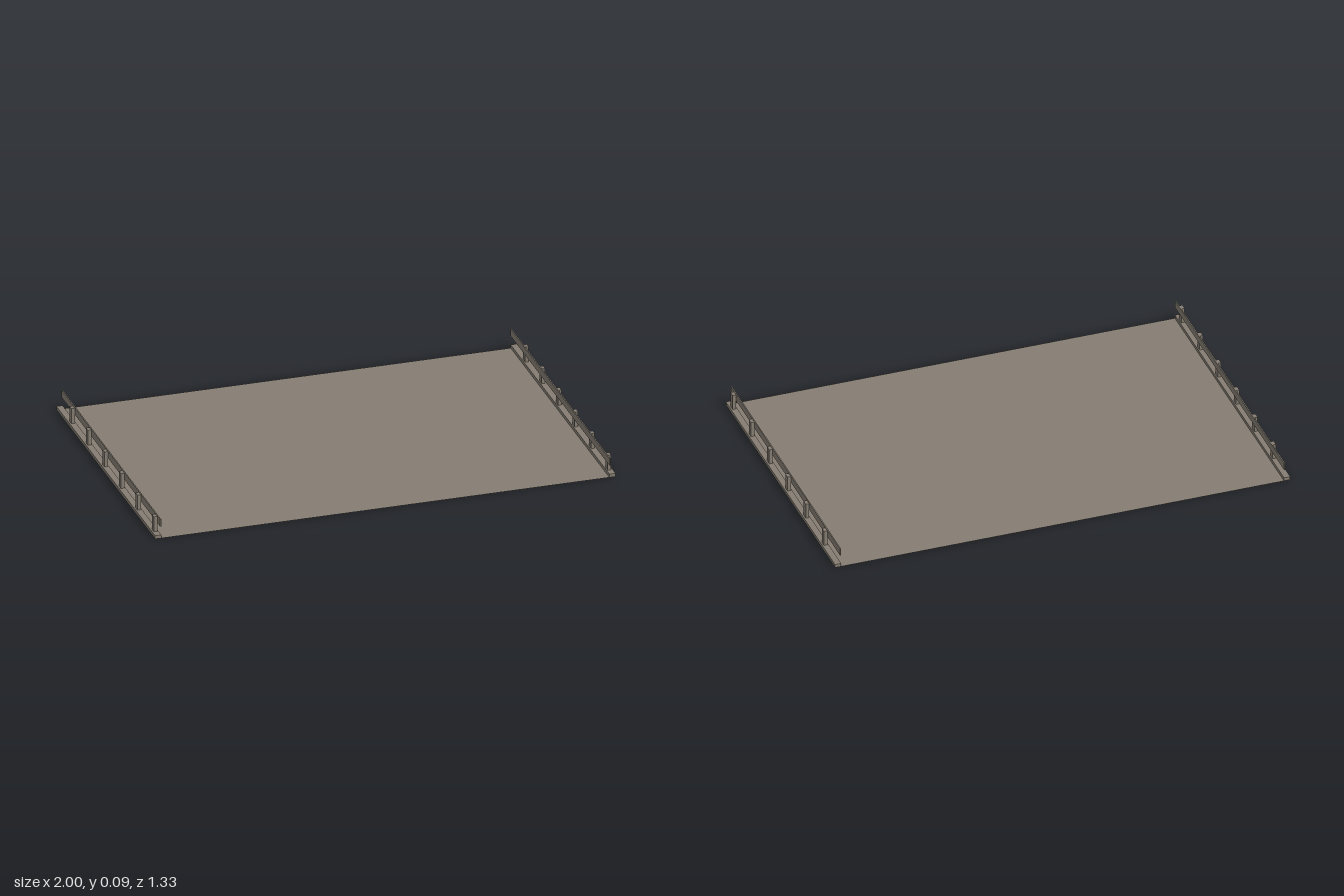
import * as THREE from 'three';

const LENGTH = 1.334; // along z

export function createModel() {
  const model = new THREE.Group();
  model.name = 'roadSection';

  const concrete = new THREE.MeshStandardMaterial({ color: 0x857d72 });
  concrete.name = 'concrete';
  concrete.side = THREE.DoubleSide;

  // box given by its lower and upper corner limits
  function box(parent, name, [x0, x1], [y0, y1], [z0, z1]) {
    const mesh = new THREE.Mesh(new THREE.BoxGeometry(x1 - x0, y1 - y0, z1 - z0), concrete);
    mesh.position.set((x0 + x1) / 2, (y0 + y1) / 2, (z0 + z1) / 2);
    mesh.name = name;
    parent.add(mesh);
  }

  // flat sheet of the road deck, between the curbs
  const deck = new THREE.Mesh(new THREE.PlaneGeometry(1.946, LENGTH).rotateX(-Math.PI / 2), concrete);
  deck.name = 'deck';
  model.add(deck);

  // curb, posts and guard rail on each side, rail facing the road
  for (const side of [1, -1]) {
    const barrier = new THREE.Group();
    barrier.name = side > 0 ? 'leftBarrier' : 'rightBarrier';
    const span = (a, b) => (side > 0 ? [a, b] : [-b, -a]);
    const full = [-LENGTH / 2, LENGTH / 2];

    box(barrier, 'curb', span(0.973, 1), [0, 0.015], full);
    box(barrier, 'guardRail', span(0.973, 0.978), [0.054, 0.086], full);
    for (let i = 0; i < 6; i++) {
      const z = 0.615 - i * 0.2228;
      box(barrier, 'post' + (i + 1), span(0.978, 0.993), [0.015, 0.083], [z - 0.0135, z + 0.0135]);
    }
    model.add(barrier);
  }

  return model;
}
